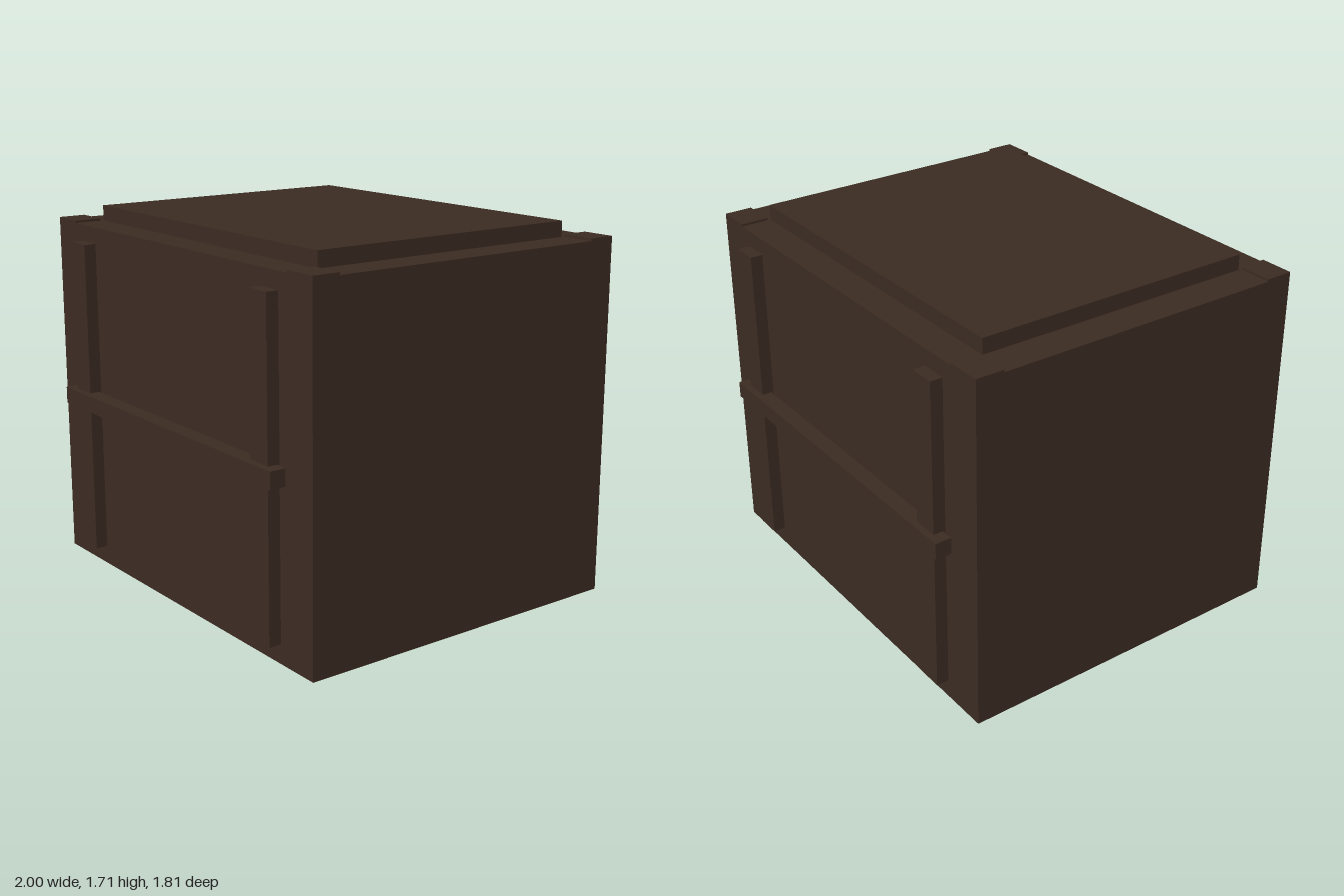
import * as THREE from 'three';

export function createModel() {
  const group = new THREE.Group();
  const darkWood = new THREE.MeshStandardMaterial({ color: 0x3c2c22 });

  // Box given by its extents on each axis
  function box(name, [x0, x1], [y0, y1], [z0, z1]) {
    const mesh = new THREE.Mesh(new THREE.BoxGeometry(x1 - x0, y1 - y0, z1 - z0), darkWood);
    mesh.position.set((x0 + x1) / 2, (y0 + y1) / 2, (z0 + z1) / 2);
    mesh.name = name;
    group.add(mesh);
  }
  // Extents mirrored to the chosen side
  const side = (s, a, b) => (s > 0 ? [a, b] : [-b, -a]);

  // Crate body and raised lid
  box('crateBody', [-1, 1], [0, 1.636], [-0.817, 0.817]);
  box('lid', [-0.838, 0.838], [1.636, 1.708], [-0.672, 0.672]);

  for (const sz of [1, -1]) {
    for (const sx of [1, -1]) {
      // Low caps on the top corners
      box('cornerCap', side(sx, 0.84, 1), [1.636, 1.647], side(sz, 0.687, 0.817));
      // Upright battens on front and back
      box('uprightBatten', side(sx, 0.66, 0.78), [0.087, 1.56], side(sz, 0.817, 0.875));
    }
    // Cross bar resting on the battens, just clear of the body
    box('crossBar', [-0.838, 0.838], [0.783, 0.86], side(sz, 0.829, 0.905));
  }
  return group;
}
